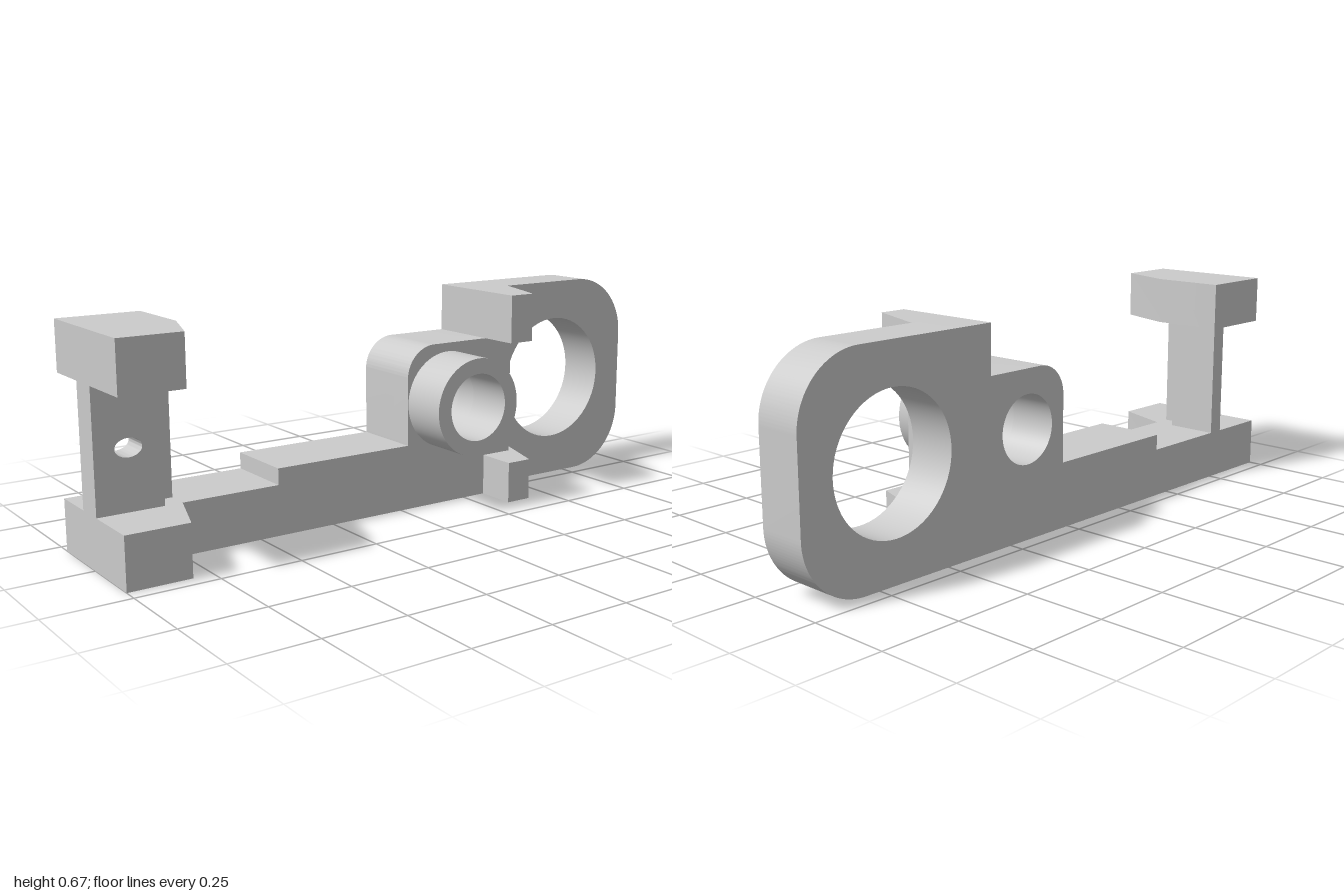
import * as THREE from 'three';
import { toCreasedNormals } from 'three/addons/utils/BufferGeometryUtils.js';

const H = 0.665, BACK = -0.205, STEP = -0.05, FACE = 0.025;

export function createModel() {
  const group = new THREE.Group();
  const material = new THREE.MeshStandardMaterial({ color: 0xcccccc });

  const add = (name, geometry) => {
    const mesh = new THREE.Mesh(toCreasedNormals(geometry, 0.5), material);
    mesh.name = name;
    group.add(mesh);
  };
  const extrude = (shape, depth) =>
    new THREE.ExtrudeGeometry(shape, { depth, bevelEnabled: false, curveSegments: 32 });

  // Outline in x,y extruded from z0 to z1
  const slabZ = (name, shape, z0, z1) => add(name, extrude(shape, z1 - z0).translate(0, 0, z0));

  // Plan outline given as [x, z], extruded from y0 to y1
  const slabY = (name, points, y0, y1) => {
    const shape = new THREE.Shape(points.map(([x, z]) => new THREE.Vector2(x, -z)));
    add(name, extrude(shape, y1 - y0).rotateX(-Math.PI / 2).translate(0, y0, 0));
  };

  const ellipse = (x, y, rx, ry) => new THREE.Path().absellipse(x, y, rx, ry, 0, Math.PI * 2, true);
  const boreHole = () => ellipse(0.18, 0.335, 0.105, 0.105);

  // Stepped top edge of the arm, running left from the raised bore block
  const armTop = (s) => {
    s.lineTo(0.125, 0.515);
    s.absarc(0.125, 0.415, 0.1, Math.PI / 2, Math.PI, false);
    s.lineTo(0.025, 0.205);
    s.lineTo(-0.44, 0.205);
    s.lineTo(-0.44, 0.155);
    s.lineTo(-0.75, 0.155);
    s.closePath();
  };

  // Rear layer: arm, bore block and rounded ring plate
  const R = 0.2;
  const rear = new THREE.Shape();
  rear.moveTo(-0.75, 0);
  rear.lineTo(1 - R, 0);
  rear.absarc(1 - R, R, R, -Math.PI / 2, 0, false);
  rear.lineTo(1, H - R);
  rear.absarc(1 - R, H - R, R, 0, Math.PI / 2, false);
  rear.lineTo(0.33, H);
  rear.lineTo(0.33, 0.515);
  armTop(rear);
  rear.holes.push(ellipse(0.69, 0.335, 0.205, 0.205), boreHole());
  slabZ('rearPlate', rear, BACK, STEP);

  // Front layer: the thicker part of the arm
  const front = new THREE.Shape();
  front.moveTo(-0.75, 0);
  front.lineTo(0.435, 0);
  front.lineTo(0.435, 0.515);
  armTop(front);
  front.holes.push(boreHole());
  slabZ('armFront', front, STEP, FACE);

  // Hollow boss around the bore
  const boss = new THREE.Shape().absarc(0.18, 0.335, 0.153, 0, Math.PI * 2, false);
  boss.holes.push(boreHole());
  slabZ('boss', boss, FACE, 0.18);

  // Tapered prongs beside the ring plate
  const prong = [[0.33, STEP], [0.33, 0.152], [0.415, 0.152], [0.483, STEP]];
  slabY('lowerProng', prong, 0, 0.13);
  slabY('upperProng', prong, 0.515, H);

  // End clamp: two tapered jaws
  const jaw = [[-1, BACK], [-1, 0.205], [-0.81, 0.205], [-0.747, FACE], [-0.747, BACK]];
  slabY('lowerJaw', jaw, 0, 0.155);
  slabY('upperJaw', jaw, 0.515, H);

  // Post joining the jaws
  slabY('clampPost', [[-0.8, BACK], [-0.8, -0.01], [-0.79, -0.04], [-0.747, -0.04], [-0.747, BACK]], 0.155, 0.515);

  // Thin web between the jaws with a small oval hole
  const web = new THREE.Shape();
  web.moveTo(-1, 0.155);
  web.lineTo(-0.8, 0.155);
  web.lineTo(-0.8, 0.515);
  web.lineTo(-1, 0.515);
  web.closePath();
  web.holes.push(ellipse(-0.9, 0.335, 0.04, 0.027));
  slabZ('clampWeb', web, -0.065, FACE);

  return group;
}
